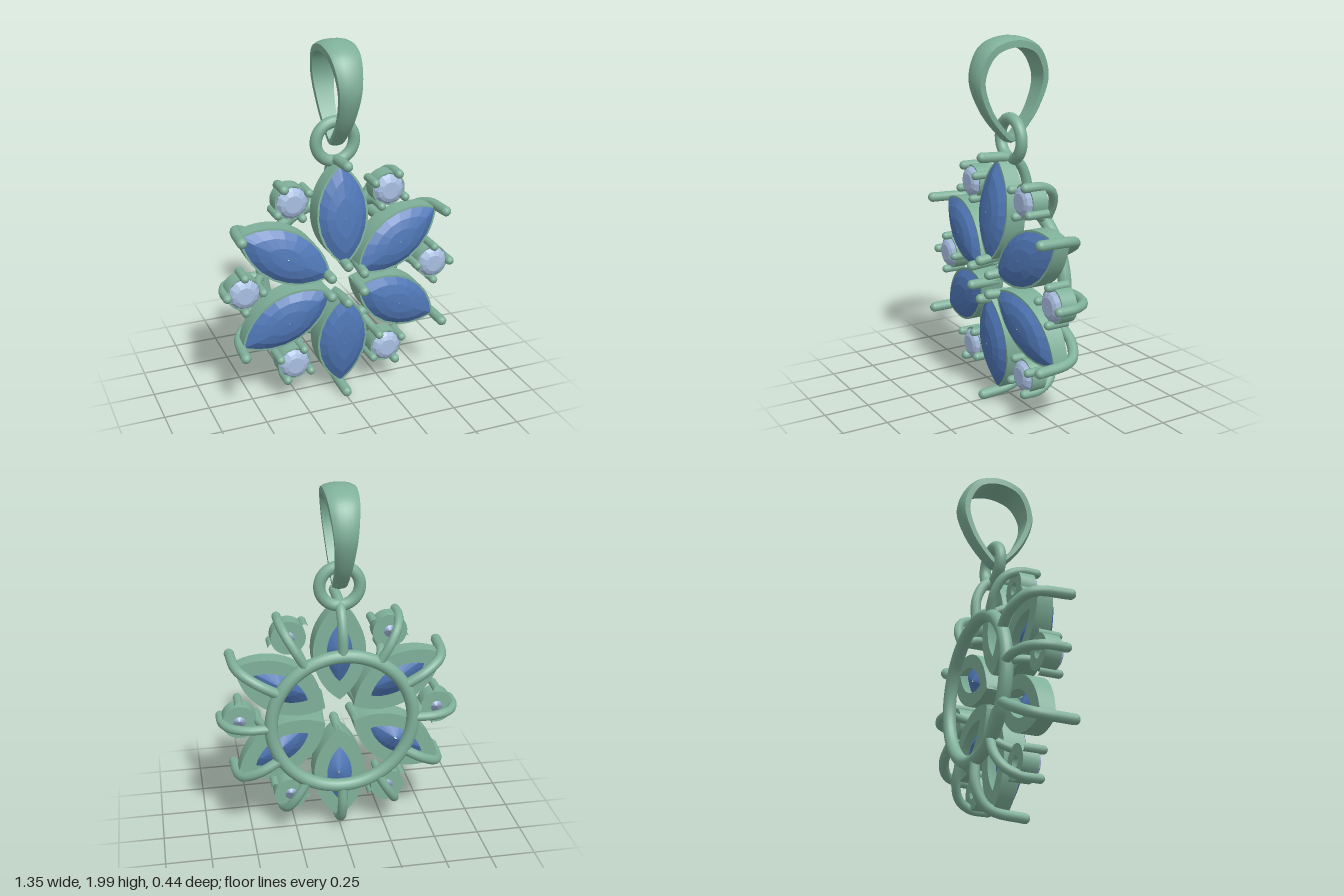
import * as THREE from 'three';
import { toCreasedNormals } from 'three/addons/utils/BufferGeometryUtils.js';

const V = (x, y, z) => new THREE.Vector3(x, y, z);
const metal = new THREE.MeshStandardMaterial({ color: 0x7fb09a });
const blue = new THREE.MeshStandardMaterial({ color: 0x5078b8, flatShading: true });
const pale = new THREE.MeshStandardMaterial({ color: 0xa8bee0, flatShading: true });

function add(parent, name, geometry, material = metal) {
  const mesh = new THREE.Mesh(geometry, material);
  mesh.name = name;
  parent.add(mesh);
  return mesh;
}

// Skin a row of closed rings; closed also joins the last ring to the first
function loft(rings, closed, crease) {
  const n = rings[0].length, m = rings.length, index = [];
  for (let i = 0; i < (closed ? m : m - 1); i++) {
    for (let j = 0; j < n; j++) {
      const k = (j + 1) % n, r = ((i + 1) % m) * n;
      index.push(i * n + j, i * n + k, r + k, i * n + j, r + k, r + j);
    }
  }
  const g = new THREE.BufferGeometry().setFromPoints(rings.flat());
  g.setIndex(index);
  g.computeVertexNormals();
  return crease ? toCreasedNormals(g, crease) : g;
}

// Pointed oval outline, long axis along y
function almond(halfLength, halfWidth, n, zAt) {
  const R = (halfLength ** 2 + halfWidth ** 2) / (2 * halfWidth);
  return Array.from({ length: n }, (_, i) => {
    const t = (i / n) * Math.PI * 2, y = halfLength * Math.sin(t);
    const x = Math.max(0, Math.sqrt(R * R - y * y) - R + halfWidth);
    return V(Math.cos(t) < 0 ? -x : x, y, zAt(y));
  });
}

function circle(radius, n, z) {
  return Array.from({ length: n }, (_, i) => {
    const t = (i / n) * Math.PI * 2;
    return V(radius * Math.cos(t), radius * Math.sin(t), z);
  });
}

// Round wire through the points, with a ball on its first end
function prong(parent, name, points, radius) {
  const g = new THREE.Group();
  g.name = name;
  const path = new THREE.CatmullRomCurve3(points);
  add(g, name + 'Wire', new THREE.TubeGeometry(path, points.length * 6, radius, 12));
  add(g, name + 'Tip', new THREE.SphereGeometry(radius, 12, 8)).position.copy(points[0]);
  parent.add(g);
}

// Large pointed stone in its setting; the front slopes up to the middle of the flower
function makePetal() {
  const petal = new THREE.Group();
  petal.name = 'petal';
  const seat = new THREE.Group();
  seat.name = 'petalSeat';
  seat.position.y = 0.372;
  petal.add(seat);
  const slope = z => y => z - 0.1 * y;
  const flat = () => -0.012;
  add(seat, 'petalSetting', loft([
    almond(0.28, 0.145, 48, flat),
    almond(0.28, 0.145, 48, slope(0.1)),
    almond(0.262, 0.131, 48, slope(0.1)),
    almond(0.17, 0.07, 48, flat)
  ], true, 0.6));
  // scale and height of each facet row, from keel to table
  const rows = [[0.04, 0.005], [0.5, 0.04], [0.97, 0.09], [1, 0.1], [0.75, 0.127], [0.42, 0.142], [0.02, 0.146]];
  add(seat, 'petalStone', loft(rows.map(([s, z]) => almond(0.268 * s, 0.135 * s, 20, slope(z)))), blue);
  prong(petal, 'outerProng', [V(0, 0.668, 0.165), V(0, 0.652, 0), V(0, 0.62, -0.06),
    V(0, 0.52, -0.108), V(0, 0.39, -0.11)], 0.028);
  prong(petal, 'innerProng', [V(0, 0.108, 0.18), V(0, 0.125, 0)], 0.027);
  return petal;
}

// Small round stone with four prongs, two of them running to the back ring
function makeAccent() {
  const accent = new THREE.Group();
  accent.name = 'accent';
  const seat = new THREE.Group();
  seat.name = 'accentSeat';
  seat.position.y = 0.55;
  accent.add(seat);
  add(seat, 'accentSetting', loft([
    circle(0.094, 32, -0.012), circle(0.094, 32, 0.076),
    circle(0.086, 32, 0.076), circle(0.034, 32, -0.012)
  ], true, 0.6));
  const rows = [[0.002, -0.002], [0.083, 0.07], [0.086, 0.078], [0.07, 0.096], [0.048, 0.106], [0.001, 0.106]];
  add(seat, 'accentStone', loft(rows.map(([r, z]) => circle(r, 12, z))), pale);
  for (const s of [-1, 1]) {
    prong(seat, 'sideProng', [V(s * 0.1, 0, 0.1), V(s * 0.1, 0, -0.012)], 0.023);
  }
  prong(accent, 'outerProng', [V(0, 0.648, 0.098), V(0, 0.643, 0), V(0, 0.6, -0.075),
    V(0, 0.51, -0.113), V(0, 0.39, -0.113)], 0.025);
  prong(accent, 'innerProng', [V(0, 0.45, 0.098), V(0, 0.45, 0), V(0, 0.42, -0.07), V(0, 0.39, -0.11)], 0.023);
  return accent;
}

// Teardrop hanging loop, a band that widens and thickens to the top
function bailGeometry() {
  const side = [[0.135, 1.928], [0.198, 1.785], [0.15, 1.625], [0.058, 1.5]];
  const path = new THREE.CatmullRomCurve3([
    V(0, 1.972, 0),
    ...side.map(([z, y]) => V(0, y, z)),
    V(0, 1.455, 0),
    ...side.map(([z, y]) => V(0, y, -z)).reverse()
  ], true, 'centripetal');
  const section = [[-1, -1], [1, -1], [1, 0.3], [0.75, 0.7], [0.4, 0.93], [0, 1], [-0.4, 0.93], [-0.75, 0.7], [-1, 0.3]];
  const rings = [];
  for (let i = 0; i < 72; i++) {
    const p = path.getPointAt(i / 72);
    const out = path.getTangentAt(i / 72).cross(V(1, 0, 0));
    const f = (p.y - 1.455) / 0.517;
    const width = 0.038 + 0.02 * f + 0.028 * f * f, thick = 0.018 + 0.01 * f;
    rings.push(section.map(([a, b]) => p.clone().addScaledVector(out, b * thick).add(V(a * width, 0, 0))));
  }
  return loft(rings, true, 0.7);
}

export function createModel() {
  const model = new THREE.Group();
  model.name = 'flowerPendant';

  const flower = new THREE.Group();
  flower.name = 'flower';
  flower.position.y = 0.705;
  model.add(flower);
  for (let i = 0; i < 6; i++) {
    const petal = makePetal();
    petal.rotation.z = (i * Math.PI) / 3;
    const accent = makeAccent();
    accent.rotation.z = ((i + 0.5) * Math.PI) / 3;
    flower.add(petal, accent);
  }
  add(flower, 'backRing', new THREE.TorusGeometry(0.39, 0.036, 16, 72)).position.z = -0.106;

  // Hanging hardware
  add(model, 'jumpRing', new THREE.TorusGeometry(0.108, 0.032, 16, 48)).position.set(0, 1.457, -0.012);
  add(model, 'bail', bailGeometry());
  return model;
}
